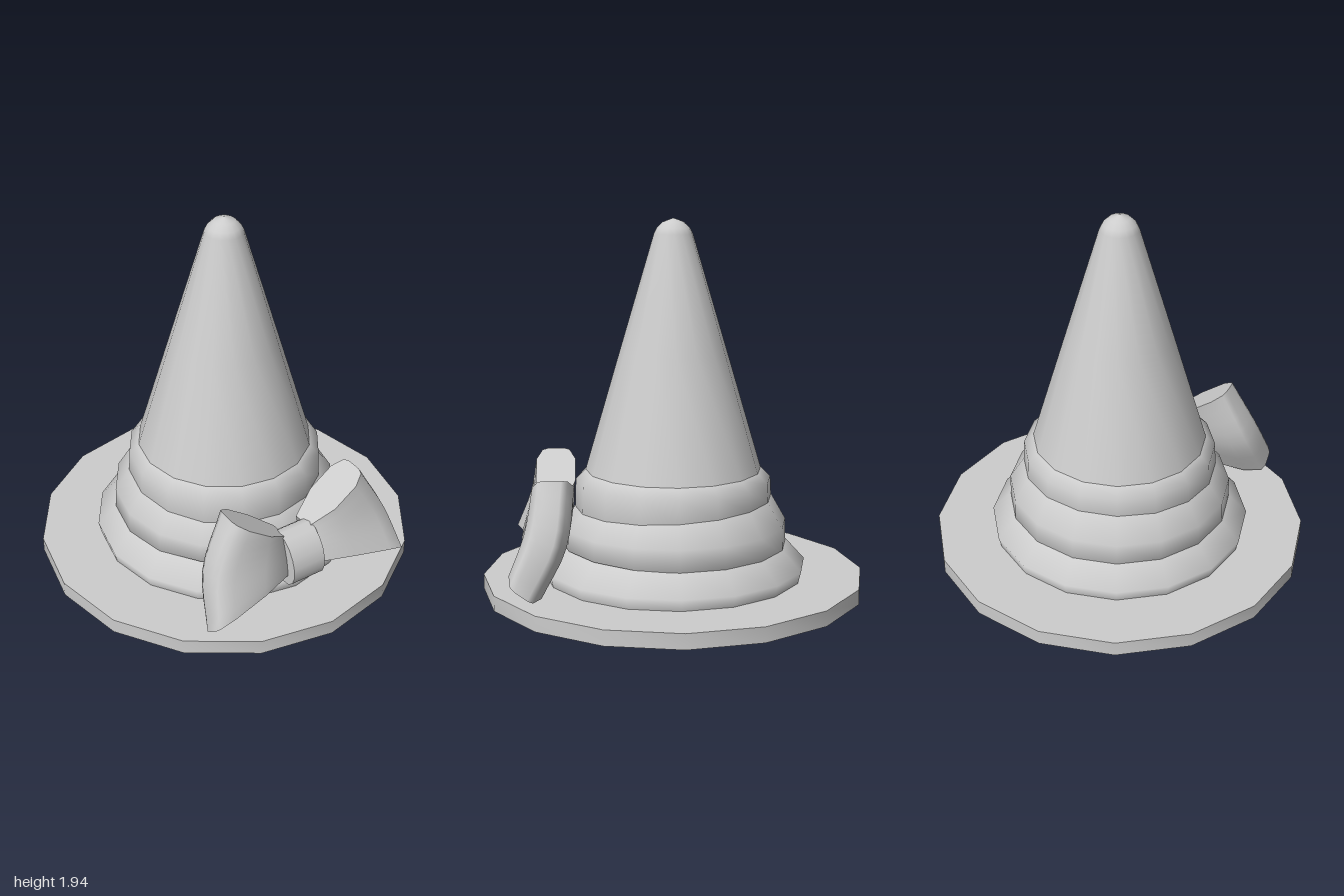
import * as THREE from 'three';
import { toCreasedNormals } from 'three/addons/utils/BufferGeometryUtils.js';

const SIDES = 16;
const felt = new THREE.MeshStandardMaterial({ color: 0xcccccc });
felt.name = 'light grey felt';

function part(name, geometry) {
  const mesh = new THREE.Mesh(geometry, felt);
  mesh.name = name;
  return mesh;
}

function lathe(points) {
  return new THREE.LatheGeometry(points.map(([r, y]) => new THREE.Vector2(r, y)), SIDES);
}

// Tilts a fold: the y of each vertex shifts with its depth, by slope(y)
function tilt(geometry, slope) {
  const p = geometry.attributes.position;
  for (let i = 0; i < p.count; i++) p.setY(i, p.getY(i) + p.getZ(i) * slope(p.getY(i)));
  return geometry;
}

// Rounded cross-section of a bow loop: u runs inner to outer, v back to front
const SECTION = [
  [0, 0.5], [0.4, 1], [0.8, 1], [0.97, 0.7], [1, 0.4],
  [1, -0.4], [0.97, -0.7], [0.8, -1], [0.4, -1], [0, -0.5],
];

// Bow loop lofted from its top edge to its bottom edge, with flat ends
function bowLoop(side) {
  const curve = (...pts) => new THREE.CatmullRomCurve3(pts.map(p => new THREE.Vector3(...p)));
  const inner = curve([0.07, 0.44, 0.62], [0.07, 0.32, 0.66], [0.07, 0.21, 0.69]);
  const outer = curve([0.39, 0.67, 0.62], [0.53, 0.39, 0.66], [0.59, 0.14, 0.78]);
  const half = curve([0, 0, 0.105], [0, 0.035, 0.105], [0, 0.06, 0.08]);
  const rows = 8, n = SECTION.length;
  const position = [], index = [];
  const tri = (a, b, c) => (side > 0 ? index.push(a, b, c) : index.push(a, c, b));

  const addRow = t => {
    const a = inner.getPoint(t), b = outer.getPoint(t), h = half.getPoint(t);
    for (const [u, v] of SECTION) {
      const p = a.clone().lerp(b, u).addScaledVector(h, v);
      position.push(p.x * side, p.y, p.z);
    }
  };

  for (let i = 0; i <= rows; i++) addRow(i / rows);
  for (let i = 0; i < rows; i++) {
    for (let j = 0; j < n; j++) {
      const k = (j + 1) % n;
      const a = i * n + j, d = i * n + k;
      tri(a, a + n, d + n);
      tri(a, d + n, d);
    }
  }
  // End faces have their own vertices so their rims stay sharp
  const top = (rows + 1) * n, bottom = top + n;
  addRow(0);
  addRow(1);
  for (let j = 1; j < n - 1; j++) {
    tri(top, top + j, top + j + 1);
    tri(bottom, bottom + j + 1, bottom + j);
  }

  const geometry = new THREE.BufferGeometry();
  geometry.setAttribute('position', new THREE.Float32BufferAttribute(position, 3));
  geometry.setIndex(index);
  geometry.computeVertexNormals();
  return geometry;
}

export function createModel() {
  const hat = new THREE.Group();
  hat.name = 'pointedHat';

  // Flat brim, open in the middle
  hat.add(part('brim', toCreasedNormals(
    lathe([[0.585, 0], [1, 0], [1, 0.08], [0.56, 0.08]]), 0.6)));

  // Tall crown with a rounded tip, and the hollow inside it
  hat.add(part('crown', lathe([
    [0.52, 0.42], [0.46, 0.635], [0.28, 1.25], [0.1, 1.86], [0.085, 1.89], [0.055, 1.92], [0, 1.94],
  ])));
  hat.add(part('lining', lathe([[0, 1.88], [0.06, 1.86], [0.09, 1.8], [0.585, 0]])));

  // Three stacked folds around the foot of the crown
  hat.add(part('lowerFold', lathe([[0.68, 0.08], [0.695, 0.14], [0.6, 0.245], [0.54, 0.27]])));
  hat.add(part('middleFold', tilt(
    lathe([[0.55, 0.245], [0.595, 0.245], [0.592, 0.36], [0.515, 0.47], [0.46, 0.5]]),
    y => (y < 0.3 ? 0.03 : y < 0.4 ? 0 : -0.05))));
  hat.add(part('upperFold', tilt(
    lathe([[0.5, 0.45], [0.515, 0.47], [0.51, 0.59], [0.46, 0.64], [0.44, 0.645]]),
    y => (y < 0.5 ? -0.05 : 0))));

  // Bow on the front of the brim
  const bow = new THREE.Group();
  bow.name = 'bow';
  bow.add(part('leftBowLoop', bowLoop(1)), part('rightBowLoop', bowLoop(-1)));

  const knotGeometry = new THREE.CylinderGeometry(1, 1, 0.19, 16)
    .rotateZ(Math.PI / 2)
    .scale(1, 0.148, 0.104)
    .rotateX(-0.45);
  const knot = part('bowKnot', knotGeometry);
  knot.position.set(0, 0.315, 0.68);
  bow.add(knot);
  hat.add(bow);

  return hat;
}
